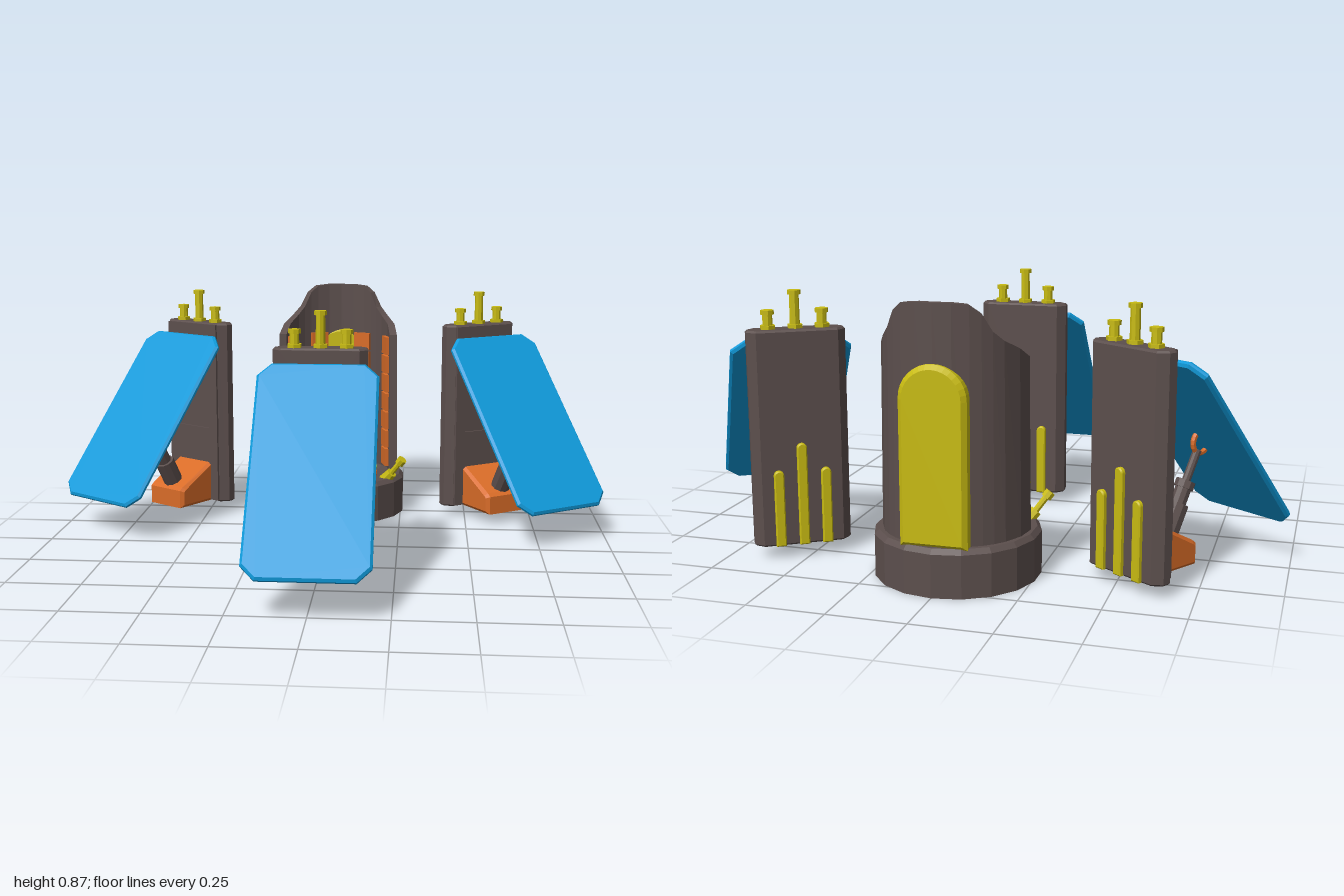
import * as THREE from 'three';

const paint = (name, color) => Object.assign(new THREE.MeshStandardMaterial({ color }), { name });
const V = (x, y, z) => new THREE.Vector3(x, y, z);

// Adds a faceted mesh to a parent.
function add(parent, name, geo, mat, x = 0, y = 0, z = 0) {
  const g = geo.index ? geo.toNonIndexed() : geo;
  g.computeVertexNormals();
  const mesh = new THREE.Mesh(g, mat);
  mesh.name = name;
  mesh.position.set(x, y, z);
  parent.add(mesh);
  return mesh;
}

// Cylinder running from a to b.
function rod(parent, name, a, b, ra, rb, mat, sides = 10) {
  const d = b.clone().sub(a);
  const m = add(parent, name, new THREE.CylinderGeometry(rb, ra, d.length(), sides), mat);
  m.position.copy(a).addScaledVector(d, 0.5);
  m.quaternion.setFromUnitVectors(V(0, 1, 0), d.normalize());
  return m;
}

const polygon = pts => new THREE.Shape(pts.map(p => new THREE.Vector2(p[0], p[1])));

// Rectangle with cut corners.
const cutRect = (w, h, c) => polygon([[-w + c, -h], [w - c, -h], [w, -h + c], [w, h - c],
  [w - c, h], [-w + c, h], [-w, h - c], [-w, -h + c]]);

function extrude(shape, depth, bevel = 0) {
  return new THREE.ExtrudeGeometry(shape, { depth: depth - 2 * bevel, bevelEnabled: bevel > 0,
    bevelSize: bevel, bevelThickness: bevel, bevelOffset: -bevel, bevelSegments: 1, curveSegments: 8 })
    .translate(0, 0, bevel);
}

// Upright arch, standing on y = 0.
function arch(w, h) {
  const s = new THREE.Shape();
  s.moveTo(-w, 0);
  s.lineTo(w, 0);
  s.lineTo(w, h - w);
  s.absarc(0, h - w, w, 0, Math.PI);
  s.closePath();
  return s;
}

// Curved back wall whose height follows a stepped rule around the half circle.
function shellGeometry() {
  const half = [[0, 0.87], [14, 0.87], [27, 0.865], [36, 0.84], [45, 0.785], [55, 0.755], [72, 0.725], [90, 0.69]];
  const steps = [...half.slice(1).reverse().map(([a, h]) => [-a, h]), ...half];
  const sections = steps.map(([deg, h]) => {
    const a = deg * Math.PI / 180;
    const p = (r, y) => [1.03 * r * Math.sin(a), y, -r * Math.cos(a)];
    return [p(0.228, 0.13), p(0.222, h), p(0.195, h), p(0.197, 0.13)];
  });
  const pos = [];
  const quad = (a, b, c, d) => pos.push(...a, ...b, ...c, ...a, ...c, ...d);
  for (let i = 0; i < sections.length - 1; i++) {
    for (let k = 0; k < 4; k++) {
      const n = (k + 1) % 4;
      quad(sections[i][k], sections[i][n], sections[i + 1][n], sections[i + 1][k]);
    }
  }
  quad(...[...sections[0]].reverse());
  quad(...sections[sections.length - 1]);
  const g = new THREE.BufferGeometry();
  g.setAttribute('position', new THREE.Float32BufferAttribute(pos, 3));
  return g;
}

function makePod(m) {
  const pod = new THREE.Group();
  pod.name = 'pod';

  // Hollow base ring with floor
  const profile = [[0, 0.09], [0.17, 0.09], [0.18, 0.05], [0.205, 0.05], [0.215, 0], [0.262, 0],
    [0.262, 0.135], [0.248, 0.15], [0.195, 0.15], [0.185, 0.135], [0, 0.135]];
  add(pod, 'base', new THREE.LatheGeometry(profile.map(p => new THREE.Vector2(...p)), 18), m.body);
  add(pod, 'shell', shellGeometry(), m.body);

  // Segmented floor ring and central pad
  for (let i = 0; i < 16; i++) {
    const s = new THREE.Shape();
    const a = i * Math.PI / 8, b = a + Math.PI / 8 - 0.05;
    s.absarc(0, 0, 0.155, a, b, false);
    s.absarc(0, 0, 0.1, b, a, true);
    const g = new THREE.ExtrudeGeometry(s, { depth: 0.02, bevelEnabled: false, curveSegments: 2 });
    add(pod, 'floorSegment', g.rotateX(-Math.PI / 2), m.orange, 0, 0.135, 0);
  }
  add(pod, 'floorPad', new THREE.CylinderGeometry(0.09, 0.097, 0.03, 20), m.yellow, 0, 0.15, 0);
  add(pod, 'floorButton', new THREE.CylinderGeometry(0.038, 0.042, 0.012, 14), m.yellow, 0, 0.17, 0);

  // Columns of tiles inside the wall
  for (const deg of [-75, -27, 27, 75]) {
    const column = new THREE.Group();
    column.name = 'tileColumn';
    column.rotation.y = -deg * Math.PI / 180;
    for (let i = 0; i < 7; i++) {
      add(column, 'tile', new THREE.BoxGeometry(0.07, 0.068, 0.016), m.orange, 0, 0.2 + i * 0.074, -0.191);
    }
    pod.add(column);
  }

  // Arched plate on the back
  add(pod, 'backPlate', extrude(arch(0.105, 0.55), 0.055, 0.014), m.yellow, 0, 0.145, -0.243);

  // Angled nozzles around the front rim
  for (const deg of [-60, -30, 0, 30, 60]) {
    const nozzle = new THREE.Group();
    nozzle.name = 'nozzle';
    nozzle.rotation.y = deg * Math.PI / 180;
    rod(nozzle, 'nozzleSocket', V(0, 0.135, 0.215), V(0, 0.172, 0.252), 0.024, 0.02, m.yellow, 8);
    rod(nozzle, 'nozzleStem', V(0, 0.165, 0.245), V(0, 0.22, 0.29), 0.011, 0.011, m.yellow, 8);
    rod(nozzle, 'nozzleTip', V(0, 0.212, 0.284), V(0, 0.23, 0.299), 0.018, 0.018, m.yellow, 8);
    pod.add(nozzle);
  }
  return pod;
}

function makePanelStation(m) {
  const st = new THREE.Group();
  st.name = 'panelStation';

  // Pillar with a framed recess on its front
  const plan = extrude(cutRect(0.155, 0.041, 0.027), 0.7, 0.006).rotateX(-Math.PI / 2);
  add(st, 'pillar', plan, m.body, 0, 0.04, -0.004);
  const frame = polygon([[-0.127, 0.045], [0.127, 0.045], [0.127, 0.735], [-0.127, 0.735]]);
  frame.holes.push(polygon([[-0.085, 0.33], [-0.085, 0.67], [0.085, 0.67], [0.085, 0.33]]));
  add(st, 'pillarFrame', extrude(frame, 0.009), m.body, 0, 0, 0.036);

  // Studs on top and ribs on the back
  for (const i of [-1, 0, 1]) {
    const top = i ? 0.8 : 0.86;
    rod(st, 'studBase', V(i * 0.085, 0.735, 0), V(i * 0.085, 0.752, 0), 0.025, 0.025, m.yellow, 6);
    rod(st, 'stud', V(i * 0.085, 0.75, 0), V(i * 0.085, top, 0), 0.016, 0.015, m.yellow, 8);
    rod(st, 'studCap', V(i * 0.085, top - 0.014, 0), V(i * 0.085, top, 0), 0.021, 0.021, m.yellow, 8);
    add(st, 'backRib', extrude(arch(0.016, i ? 0.25 : 0.335), 0.02, 0.004), m.yellow, i * 0.075, 0.042, -0.06);
  }

  // Wedge foot
  const wedge = polygon([[0.035, 0.04], [0.205, 0.04], [0.205, 0.108], [0.19, 0.12], [0.035, 0.2]]);
  add(st, 'foot', extrude(wedge, 0.18, 0.012).rotateY(-Math.PI / 2), m.orange, 0.09, 0, 0);

  // Piston
  const at = t => V(0, 0.1 + 0.275 * t, 0.145 + 0.147 * t);
  rod(st, 'pistonBody', at(0), at(0.42), 0.036, 0.036, m.body);
  rod(st, 'pistonSleeve', at(0.42), at(0.58), 0.026, 0.026, m.body);
  rod(st, 'pistonCollar', at(0.58), at(0.66), 0.032, 0.032, m.body);
  rod(st, 'pistonRod', at(0.66), at(0.99), 0.014, 0.014, m.body);

  // Tilted panel with its hinge hook
  const tilt = new THREE.Group();
  tilt.name = 'tiltedPanel';
  tilt.position.set(0, 0.41, 0.307);
  tilt.rotation.x = -0.695;
  add(tilt, 'panel', extrude(cutRect(0.195, 0.37, 0.045), 0.024, 0.008), m.blue, 0, 0, -0.012);
  const hook = new THREE.TorusGeometry(0.036, 0.009, 6, 10, Math.PI).rotateX(-Math.PI / 2).rotateZ(Math.PI / 2);
  add(tilt, 'hingeHook', hook, m.orange, 0, -0.01, -0.01);
  st.add(tilt);
  return st;
}

export function createModel() {
  const m = {
    body: paint('dark brown grey', 0x5c4f4d),
    blue: paint('panel blue', 0x0f9ada),
    orange: paint('orange', 0xd96c28),
    yellow: paint('yellow', 0xc8bb12),
  };
  const model = new THREE.Group();
  model.name = 'panelOutpost';
  const pod = makePod(m);
  pod.position.z = -0.54;
  model.add(pod);

  // One station in front and one on each side
  for (const [x, z, turn] of [[0, 0.255, 0], [0.541, -0.525, 0.593], [-0.541, -0.525, -0.593]]) {
    const station = makePanelStation(m);
    station.position.set(x, 0, z);
    station.rotation.y = turn;
    model.add(station);
  }
  return model;
}
